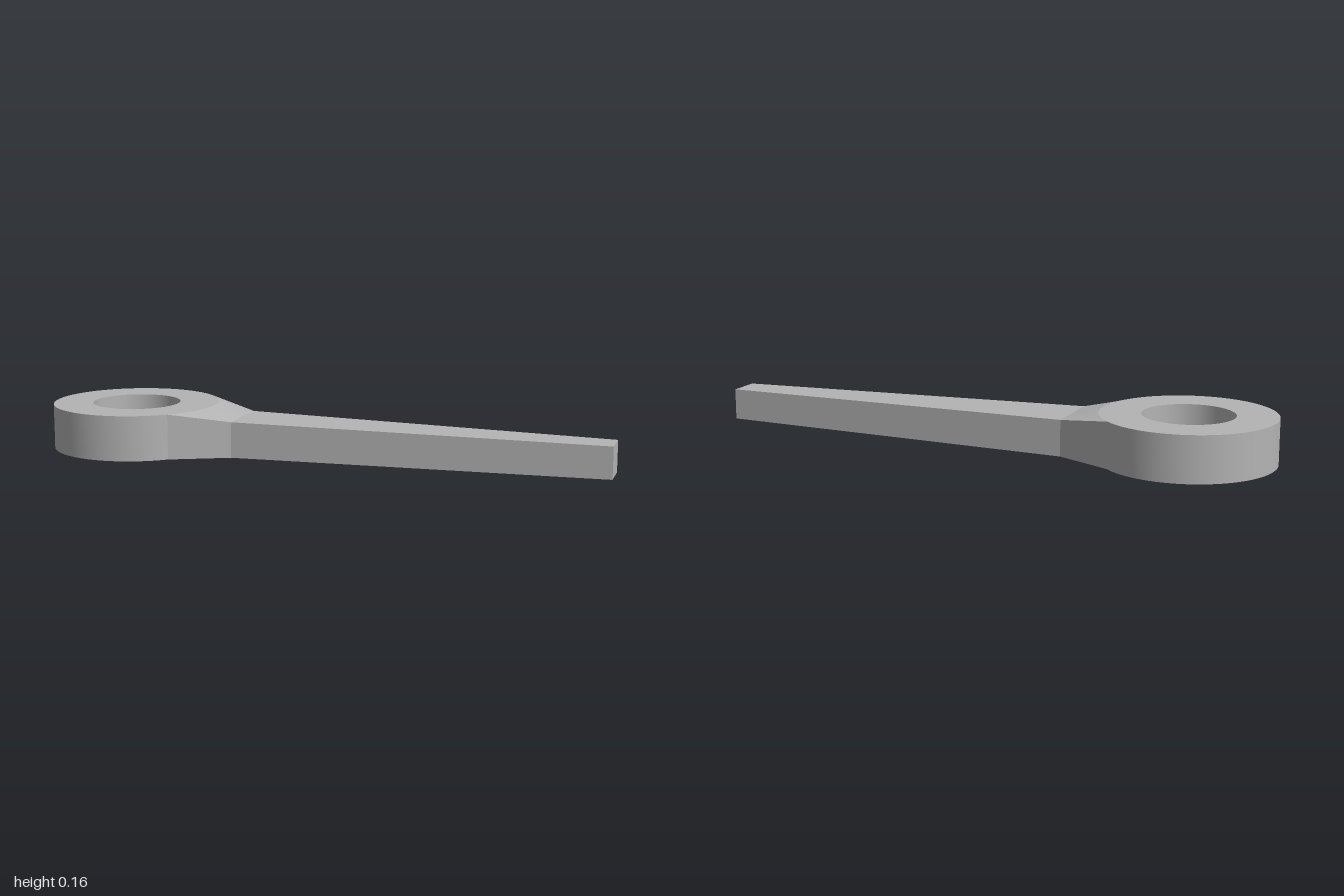
import * as THREE from 'three';

const CX = -0.705, OUTER = 0.295, HOLE = 0.155, TOP = 0.157; // ring
const NECK_X = -0.3, NECK_W = 0.115, NECK_H = 0.125;         // neck meets arm
const TIP_W = 0.058, TIP_H = 0.11;                           // arm tip
const A = Math.PI / 4;                                       // half angle of the neck on the ring

// Points on a circle about the ring's axis
const arc = (r, y, from, to, n) => Array.from({ length: n + 1 }, (_, i) => {
  const t = from + (to - from) * i / n;
  return [CX + r * Math.cos(t), y, r * Math.sin(t)];
});

// Surface between two rows of points
function strip(a, b) {
  const pos = [], idx = [], n = a.length;
  for (let i = 0; i < n; i++) pos.push(...a[i], ...b[i]);
  for (let i = 0; i < n - 1; i++) {
    const k = 2 * i;
    idx.push(k, k + 1, k + 3, k, k + 3, k + 2);
  }
  const g = new THREE.BufferGeometry();
  g.setAttribute('position', new THREE.Float32BufferAttribute(pos, 3));
  g.setIndex(idx);
  g.computeVertexNormals();
  return g;
}

export function createModel() {
  const model = new THREE.Group();
  const grey = new THREE.MeshStandardMaterial({ color: 0xb4b4b4 });
  grey.name = 'plainGrey';

  const part = (name, rows) => {
    const group = new THREE.Group();
    group.name = name;
    rows.forEach(([face, a, b]) => {
      const mesh = new THREE.Mesh(strip(a, b), grey);
      mesh.name = name + face;
      group.add(mesh);
    });
    model.add(group);
  };

  // Ring, its outer wall left open where the neck joins
  const full = (r, y) => arc(r, y, -A, 2 * Math.PI - A, 96);
  part('ring', [
    ['Top', full(OUTER, TOP), full(HOLE, TOP)],
    ['Bottom', full(HOLE, 0), full(OUTER, 0)],
    ['Bore', full(HOLE, TOP), full(HOLE, 0)],
    ['Wall', arc(OUTER, 0, A, 2 * Math.PI - A, 72), arc(OUTER, TOP, A, 2 * Math.PI - A, 72)],
  ]);

  // Neck, sloping from the ring's rim down to the arm
  const rim = y => arc(OUTER, y, -A, A, 24);
  const edge = y => rim(y).map(p => [NECK_X, y, NECK_W * p[2] / (OUTER * Math.sin(A))]);
  const rimTop = rim(TOP), rimLow = rim(0), edgeTop = edge(NECK_H), edgeLow = edge(0);
  part('neck', [
    ['Top', edgeTop, rimTop],
    ['Bottom', rimLow, edgeLow],
    ['Left', [rimLow[24], rimTop[24]], [edgeLow[24], edgeTop[24]]],
    ['Right', [edgeLow[0], edgeTop[0]], [rimLow[0], rimTop[0]]],
  ]);

  // Tapered arm with a flat tip
  const section = (x, h, w) => [[x, 0, -w], [x, h, -w], [x, h, w], [x, 0, w], [x, 0, -w]];
  const near = section(NECK_X, NECK_H, NECK_W), far = section(1, TIP_H, TIP_W);
  const sides = ['Back', 'Top', 'Front', 'Bottom'].map((face, i) =>
    [face, far.slice(i, i + 2), near.slice(i, i + 2)]);
  part('arm', [...sides, ['Tip', [far[0], far[3]], [far[1], far[2]]]]);

  return model;
}
